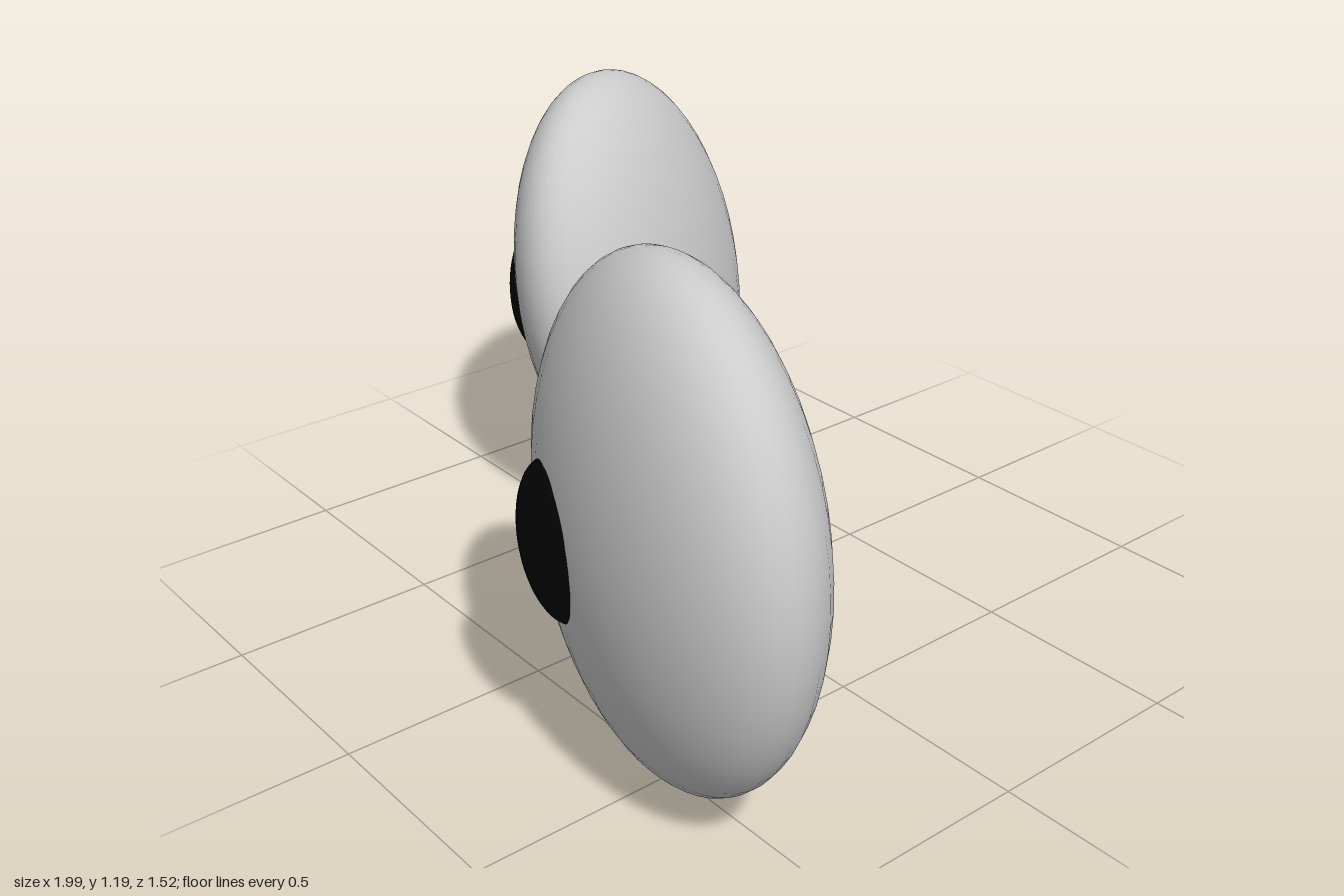
import * as THREE from 'three';

const white = new THREE.MeshStandardMaterial({ color: 0xcccccc });
const black = new THREE.MeshStandardMaterial({ color: 0x030303 });

// Smooth flattened ball: semi-axes, centre, and yaw / forward tilt / roll
function ellipsoid(name, material, size, centre, [yaw, tilt, roll]) {
  const mesh = new THREE.Mesh(new THREE.SphereGeometry(1, 40, 28), material);
  mesh.name = name;
  mesh.scale.set(...size);
  mesh.position.set(...centre);
  mesh.rotation.set(tilt, yaw, roll, 'YXZ');
  return mesh;
}

// An eyeball with a pupil half sunk into its front
function eye(name, ball, pupil) {
  const group = new THREE.Group();
  group.name = name;
  group.add(
    ellipsoid('eyeball', white, [0.492, 0.576, 0.229], ball.centre, ball.turn),
    ellipsoid('pupil', black, pupil.size, pupil.centre, pupil.turn)
  );
  return group;
}

export function createModel() {
  const model = new THREE.Group();
  model.name = 'eyes';
  model.add(
    eye('leftEye',
      { centre: [0.515, 0.613, 0.507], turn: [-0.223, 0.01, -0.05] },
      { size: [0.152, 0.178, 0.071], centre: [0.345, 0.562, 0.665], turn: [-0.223, 0.01, 0.06] }),
    eye('rightEye',
      { centre: [-0.675, 0.568, -0.312], turn: [-1.06, 0.173, -0.187] },
      { size: [0.152, 0.188, 0.071], centre: [-0.798, 0.568, -0.107], turn: [-1.06, 0.06, -0.05] })
  );
  return model;
}
